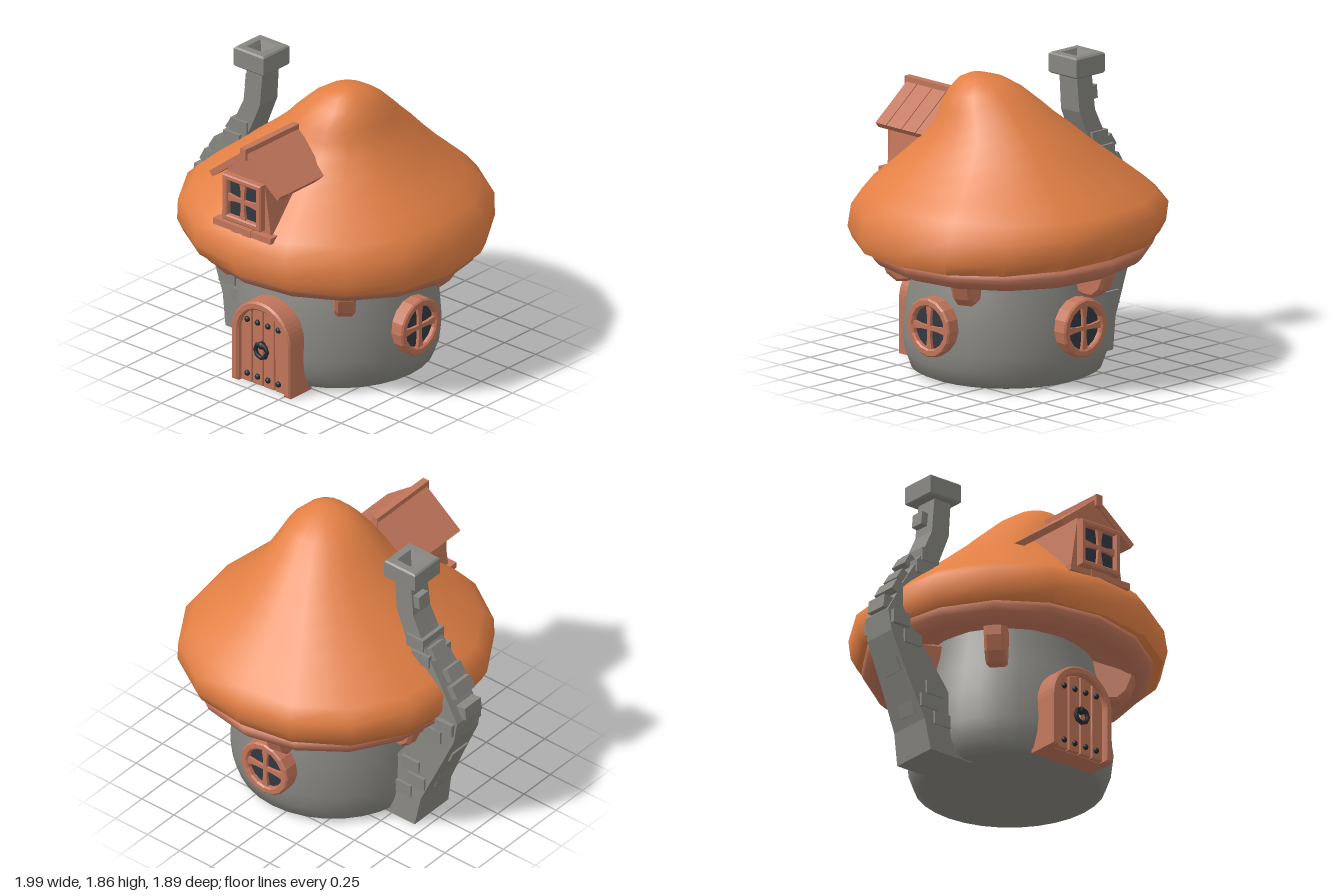
import * as THREE from 'three';
import { toCreasedNormals } from 'three/addons/utils/BufferGeometryUtils.js';

const mat = (name, color) => new THREE.MeshStandardMaterial({ name, color });
const CX = 0.065; // axis of the house

// Skin a list of equal-length closed rings of [x, y, z] points
function loft(rings, crease) {
  const n = rings[0].length, index = [];
  for (let j = 0; j < rings.length - 1; j++)
    for (let i = 0; i < n; i++) {
      const a = j * n + i, b = j * n + (i + 1) % n;
      index.push(a, a + n, b, b, a + n, b + n);
    }
  const g = new THREE.BufferGeometry();
  g.setAttribute('position', new THREE.Float32BufferAttribute(rings.flat(2), 3));
  g.setIndex(index);
  g.computeVertexNormals();
  return toCreasedNormals(g, crease);
}
const rect = (x, y, z, hw, hd) =>
  [[1, 1], [-1, 1], [-1, -1], [1, -1]].map(([sx, sz]) => [x + sx * hw, y, z + sz * hd]);

const vecs = pts => pts.map(p => new THREE.Vector2(...p));
const poly = pts => new THREE.Shape(vecs(pts));
const rectPts = h => [[-h, -h], [h, -h], [h, h], [-h, h]];
const extrude = (shape, depth, bevel = 0, curveSegments = 12) => new THREE.ExtrudeGeometry(shape, {
  depth, curveSegments, bevelEnabled: bevel > 0, bevelSize: bevel, bevelThickness: bevel, bevelOffset: -bevel, bevelSegments: 1
});

export function createModel() {
  const root = new THREE.Group();
  root.name = 'mushroomCottage';
  const orange = mat('roofOrange', 0xe38045), wood = mat('wood', 0xc1755a);
  const stone = mat('stone', 0x878681), glass = mat('glass', 0x323842), iron = mat('iron', 0x25282e);

  const add = (parent, name, geo, m, x = 0, y = 0, z = 0) => {
    const mesh = new THREE.Mesh(geo, m);
    mesh.name = name;
    mesh.position.set(x, y, z);
    parent.add(mesh);
    return mesh;
  };
  const group = (name, x = 0, y = 0, z = 0) => {
    const g = new THREE.Group();
    g.name = name;
    g.position.set(x, y, z);
    root.add(g);
    return g;
  };
  const box = (parent, name, m, w, h, d, x, y, z) =>
    add(parent, name, new THREE.BoxGeometry(w, h, d), m, x, y, z);

  // Round stone wall
  add(root, 'wall', new THREE.LatheGeometry(vecs([[0, 0.008], [0.53, 0.008], [0.58, 0.03], [0.612, 0.12],
    [0.624, 0.22], [0.61, 0.42], [0.57, 0.6], [0.53, 0.74], [0.5, 0.92]]), 32), stone, 0.075);

  // Cap roof: y, left, right, front, back of each ring
  const levels = [
    [0.88, -0.7, 0.83, 0.78, -0.78], [0.84, -0.83, 0.965, 0.915, -0.89], [0.91, -0.868, 0.995, 0.942, -0.925],
    [1.03, -0.868, 0.972, 0.933, -0.945], [1.11, -0.8, 0.905, 0.872, -0.875], [1.2, -0.685, 0.81, 0.765, -0.775],
    [1.3, -0.555, 0.705, 0.65, -0.66], [1.4, -0.425, 0.61, 0.535, -0.555], [1.5, -0.305, 0.535, 0.43, -0.455],
    [1.58, -0.21, 0.485, 0.385, -0.365], [1.65, -0.14, 0.45, 0.35, -0.29], [1.75, -0.03, 0.405, 0.285, -0.175],
    [1.815, 0.07, 0.34, 0.22, -0.07], [1.845, 0.17, 0.28, 0.15, 0.04], [1.85, 0.229, 0.231, 0.101, 0.099]];
  add(root, 'capRoof', loft(levels.map(([y, l, r, f, b]) => Array.from({ length: 16 }, (_, i) => {
    const a = i * Math.PI / 8, c = Math.cos(a), s = Math.sin(a);
    const swell = 1 + 0.03 * Math.abs(Math.sin(2 * a));
    const x = (l + r) / 2 + (r - l) / 2 * c * swell;
    const sag = y < 1 ? 0.03 * x + 0.02 * c * c : y < 1.1 ? 0.02 * x : 0;
    return [x, y - sag, (f + b) / 2 + (f - b) / 2 * s * swell];
  })), 1.45), orange);

  // Sloping wooden brim and soffit
  const brim = new THREE.LatheGeometry(vecs([[0.45, 0.85], [0.7, 0.755], [0.745, 0.728], [0.79, 0.713], [0.835, 0.735],
    [0.87, 0.77], [0.883, 0.8], [0.88, 0.83], [0.78, 0.88]]), 16);
  const bp = brim.attributes.position;
  for (let i = 0; i < bp.count; i++) bp.setY(i, bp.getY(i) - 0.035 * bp.getX(i) + 0.02 * bp.getZ(i));
  brim.computeVertexNormals();
  add(root, 'brim', toCreasedNormals(brim, 1.2), wood, 0.055);

  // Brackets under the brim
  const bracketShape = poly([[0.45, 0.6], [0.6, 0.55], [0.67, 0.548], [0.73, 0.6], [0.765, 0.69], [0.77, 0.8], [0.45, 0.84]]);
  for (const deg of [45, 136, -23, -100, -171]) {
    const g = group('bracket', CX);
    g.rotation.y = -deg * Math.PI / 180;
    add(g, 'bracketBlock', extrude(bracketShape, 0.09, 0.018), wood, 0, 0, -0.045);
  }

  // Arched door
  const door = group('door', CX);
  const S = 0.335, R = 0.235, r = 0.18;
  const arch = new THREE.Shape();
  arch.moveTo(-R, 0); arch.lineTo(-R, S); arch.absarc(0, S, R, Math.PI, 0, true);
  arch.lineTo(R, 0); arch.lineTo(r, 0); arch.lineTo(r, S); arch.absarc(0, S, r, 0, Math.PI, false); arch.lineTo(-r, 0);
  add(door, 'doorFrame', extrude(arch, 0.19, 0.012), wood, 0, 0, 0.505);
  const back = new THREE.Shape();
  back.moveTo(-r - 0.01, 0); back.lineTo(-r - 0.01, S); back.absarc(0, S, r + 0.01, Math.PI, 0, true); back.lineTo(r + 0.01, 0);
  add(door, 'doorBacking', extrude(back, 0.14), wood, 0, 0, 0.51);
  for (let i = 0; i < 4; i++) {
    const x0 = -r + i * r / 2 + 0.004, x1 = x0 + r / 2 - 0.008, pts = [[x0, 0.005], [x1, 0.005]];
    for (let k = 0; k <= 4; k++) {
      const x = x1 + (x0 - x1) * k / 4;
      pts.push([x, S + Math.sqrt(r * r - x * x)]);
    }
    add(door, 'doorPlank', extrude(poly(pts), 0.03, 0.004), wood, 0, 0, 0.645);
    for (const y of [0.06, 0.42])
      add(door, 'stud', new THREE.SphereGeometry(0.019, 10, 8), iron, (i - 1.5) * 0.083, y, 0.68);
  }
  add(door, 'knockerRing', new THREE.TorusGeometry(0.046, 0.014, 8, 8), iron, 0, 0.25, 0.697);
  add(door, 'knockerMount', new THREE.SphereGeometry(0.026, 10, 8), iron, 0, 0.285, 0.692);

  // Flared glazing bars, used on every window
  const bars = (parent, half, y, z) => {
    const s = poly([[-0.024, -half], [0.024, -half], [0.014, -half / 2], [0.012, 0], [0.014, half / 2], [0.024, half],
      [-0.024, half], [-0.014, half / 2], [-0.012, 0], [-0.014, -half / 2]]);
    for (const turn of [0, Math.PI / 2])
      add(parent, 'glazingBar', extrude(s, 0.02), wood, 0, y, z).rotation.z = turn;
  };

  // Round windows on the left and the back
  for (const turn of [Math.PI / 2, Math.PI]) {
    const w = group('roundWindow', CX, 0.37, 0);
    w.rotation.y = turn;
    const ring = new THREE.Shape().absarc(0, 0, 0.183, 0, Math.PI * 2, false);
    ring.holes.push(new THREE.Path().absarc(0, 0, 0.133, 0, Math.PI * 2, true));
    add(w, 'windowFrame', extrude(ring, 0.1, 0.01, 8), wood, 0, 0, 0.568);
    add(w, 'windowGlass', new THREE.CircleGeometry(0.14, 16), glass, 0, 0, 0.645);
    bars(w, 0.136, 0, 0.647);
  }

  // Dormer
  const dormer = group('dormer', CX);
  add(dormer, 'dormerBody', extrude(poly([[-0.2, 1.12], [0.2, 1.12], [0.145, 1.48], [0, 1.6], [-0.145, 1.48]]), 0.5), wood, 0, 0, 0.335);
  const frame = poly(rectPts(0.152));
  frame.holes.push(new THREE.Path(vecs(rectPts(0.115).reverse())));
  add(dormer, 'dormerFrame', extrude(frame, 0.045, 0.008), wood, 0, 1.305, 0.83);
  add(dormer, 'dormerGlass', new THREE.PlaneGeometry(0.24, 0.24), glass, 0, 1.305, 0.848);
  bars(dormer, 0.117, 1.305, 0.85);
  box(dormer, 'sill', wood, 0.46, 0.04, 0.1, 0, 1.113, 0.825);
  box(dormer, 'sillBlock', wood, 0.15, 0.045, 0.1, 0, 1.114, 0.832);
  box(dormer, 'ridgeBeam', wood, 0.045, 0.075, 0.49, 0, 1.622, 0.62);
  const seams = [0.85, 0.755, 0.625, 0.505, 0.378];
  for (const side of [-1, 1])
    for (let i = 0; i < 4; i++) {
      const d = seams[i] - seams[i + 1];
      const plank = box(dormer, 'roofPlank', wood, 0.345, 0.04, d - 0.006, side * 0.137, 1.51, (seams[i] + seams[i + 1]) / 2);
      plank.rotation.z = -side * 0.67;
    }

  // Crooked chimney: y, left, right, half depth of each section
  const chimney = group('chimney');
  const sections = [[0, -0.68, -0.36, 0.16], [0.2, -0.715, -0.4, 0.145], [0.46, -0.83, -0.53, 0.125],
    [0.73, -0.95, -0.73, 0.115], [0.87, -0.97, -0.77, 0.11], [1.11, -0.83, -0.67, 0.1],
    [1.32, -0.69, -0.55, 0.085], [1.5, -0.605, -0.475, 0.08], [1.75, -0.58, -0.455, 0.075]];
  add(chimney, 'chimneyStack', loft([rect(-0.52, 0, 0.01, 0, 0),
    ...sections.map(([y, l, r2, d]) => rect((l + r2) / 2, y, 0.01, (r2 - l) / 2, d))], 0.2), stone);
  add(chimney, 'chimneyCap', loft([[1.725, 0], [1.725, 0.11], [1.735, 0.12], [1.845, 0.12], [1.855, 0.11],
    [1.855, 0.065], [1.77, 0.03], [1.77, 0]].map(([y, h]) => rect(-0.53, y, 0.01, h, h)), 0.2), stone);
  // Bricks proud of the front and back faces: x, y, half depth
  for (const [x, y, d] of [[-0.63, 0.42, 0.143], [-0.58, 0.225, 0.155], [-0.68, 0.32, 0.15],
    [-0.79, 0.72, 0.13], [-0.885, 0.82, 0.14], [-0.68, 1.225, 0.108], [-0.63, 1.32, 0.1]])
    box(chimney, 'faceBrick', stone, 0.13, 0.085, d * 2, x, y, 0.01);
  // Bricks proud of the outer edge: x, y, lean, depth
  for (const [x, y, lean, d] of [[-0.725, 0.3, 0.35, 0.13], [-0.845, 0.55, 0.42, 0.14], [-0.957, 0.92, -0.12, 0.15],
    [-0.885, 1.04, -0.5, 0.17], [-0.83, 1.13, -0.56, 0.13], [-0.735, 1.27, -0.56, 0.12], [-0.605, 1.6, -0.1, 0.09]])
    box(chimney, 'edgeBrick', stone, 0.07, 0.085, d, x, y, 0.01 + (d > 0.12 ? 0.02 : -0.02)).rotation.z = lean;

  return root;
}
